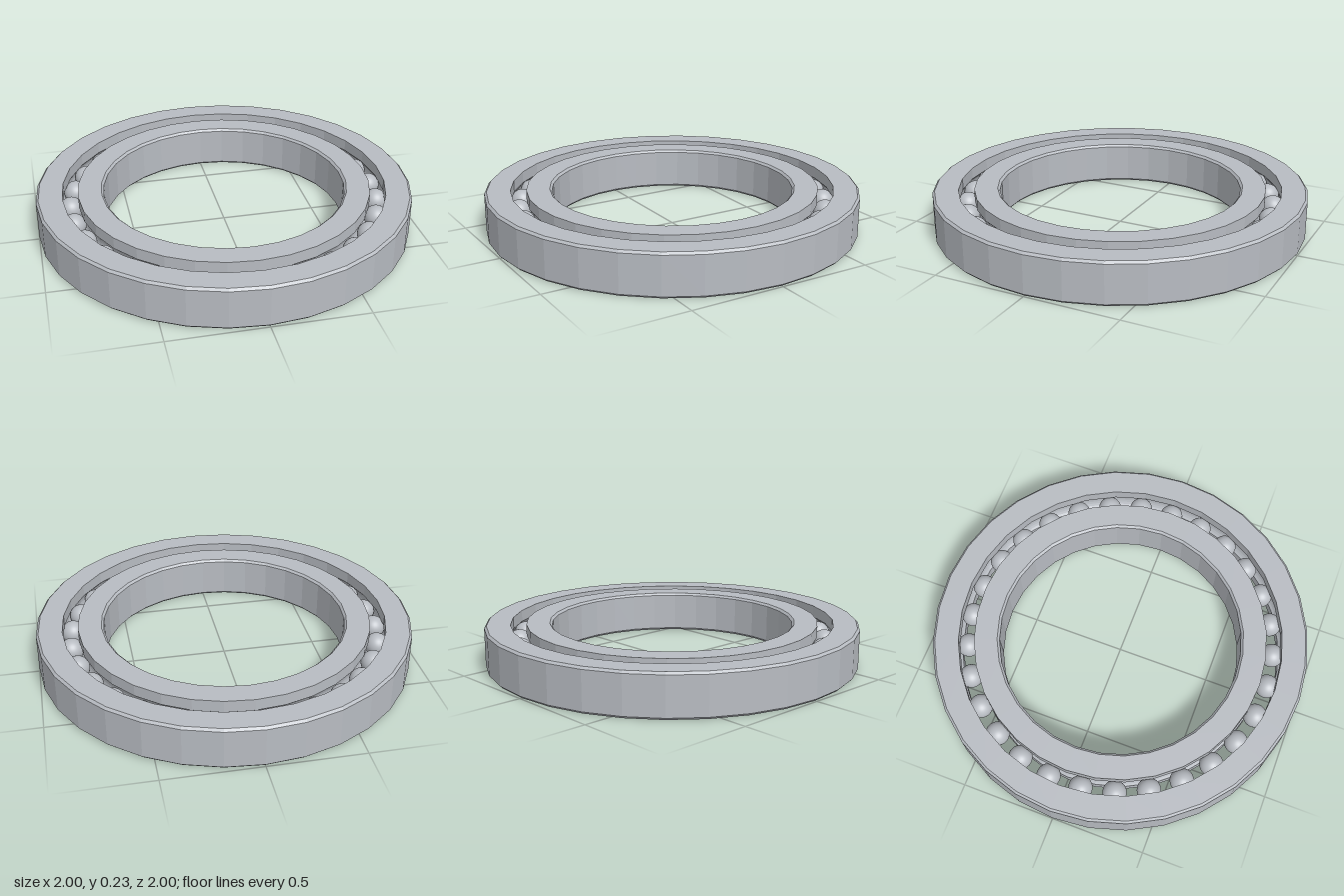
import * as THREE from 'three';

const HEIGHT = 0.226, MID = HEIGHT / 2, CHAMFER = 0.012;
const OUTER = 1, OUTER_BORE = 0.863, INNER = 0.78, BORE = 0.645;
const PITCH = (OUTER_BORE + INNER) / 2, BALL = 0.063, GROOVE = 0.066;
const BALLS = 29, SIDES = 32;

// Raceway arc, in (radius, height), around the ball centre
function groove(from, to, steps = 8) {
  return Array.from({ length: steps + 1 }, (_, i) => {
    const a = from + (to - from) * i / steps;
    return [PITCH + GROOVE * Math.cos(a), MID + GROOVE * Math.sin(a)];
  });
}

// Faceted ring from a closed counter-clockwise profile
function ring(name, profile, material) {
  const points = [...profile, profile[0]].map(([r, y]) => new THREE.Vector2(r, y));
  const geometry = new THREE.LatheGeometry(points, SIDES).toNonIndexed();
  geometry.computeVertexNormals();
  const mesh = new THREE.Mesh(geometry, material);
  mesh.name = name;
  return mesh;
}

export function createModel() {
  const model = new THREE.Group();
  model.name = 'ballBearing';
  const steel = new THREE.MeshStandardMaterial({ color: 0xb8bcc2 });
  steel.name = 'steel';

  const a = Math.acos((OUTER_BORE - PITCH) / GROOVE);

  // Outer race: chamfered outside, raceway inside
  model.add(ring('outerRace', [
    [OUTER - CHAMFER, 0], [OUTER, CHAMFER],
    [OUTER, HEIGHT - CHAMFER], [OUTER - CHAMFER, HEIGHT],
    [OUTER_BORE, HEIGHT], ...groove(a, -a), [OUTER_BORE, 0],
  ], steel));

  // Inner race: raceway outside, chamfered bore
  model.add(ring('innerRace', [
    [INNER, 0], ...groove(Math.PI + a, Math.PI - a), [INNER, HEIGHT],
    [BORE + CHAMFER, HEIGHT], [BORE, HEIGHT - CHAMFER],
    [BORE, CHAMFER], [BORE + CHAMFER, 0],
  ], steel));

  // Balls evenly spaced in the raceway
  const balls = new THREE.Group();
  balls.name = 'balls';
  const ballGeometry = new THREE.SphereGeometry(BALL, 32, 20);
  for (let i = 0; i < BALLS; i++) {
    const t = i / BALLS * Math.PI * 2;
    const ball = new THREE.Mesh(ballGeometry, steel);
    ball.name = 'ball';
    ball.position.set(PITCH * Math.cos(t), MID, PITCH * Math.sin(t));
    balls.add(ball);
  }
  model.add(balls);
  return model;
}
